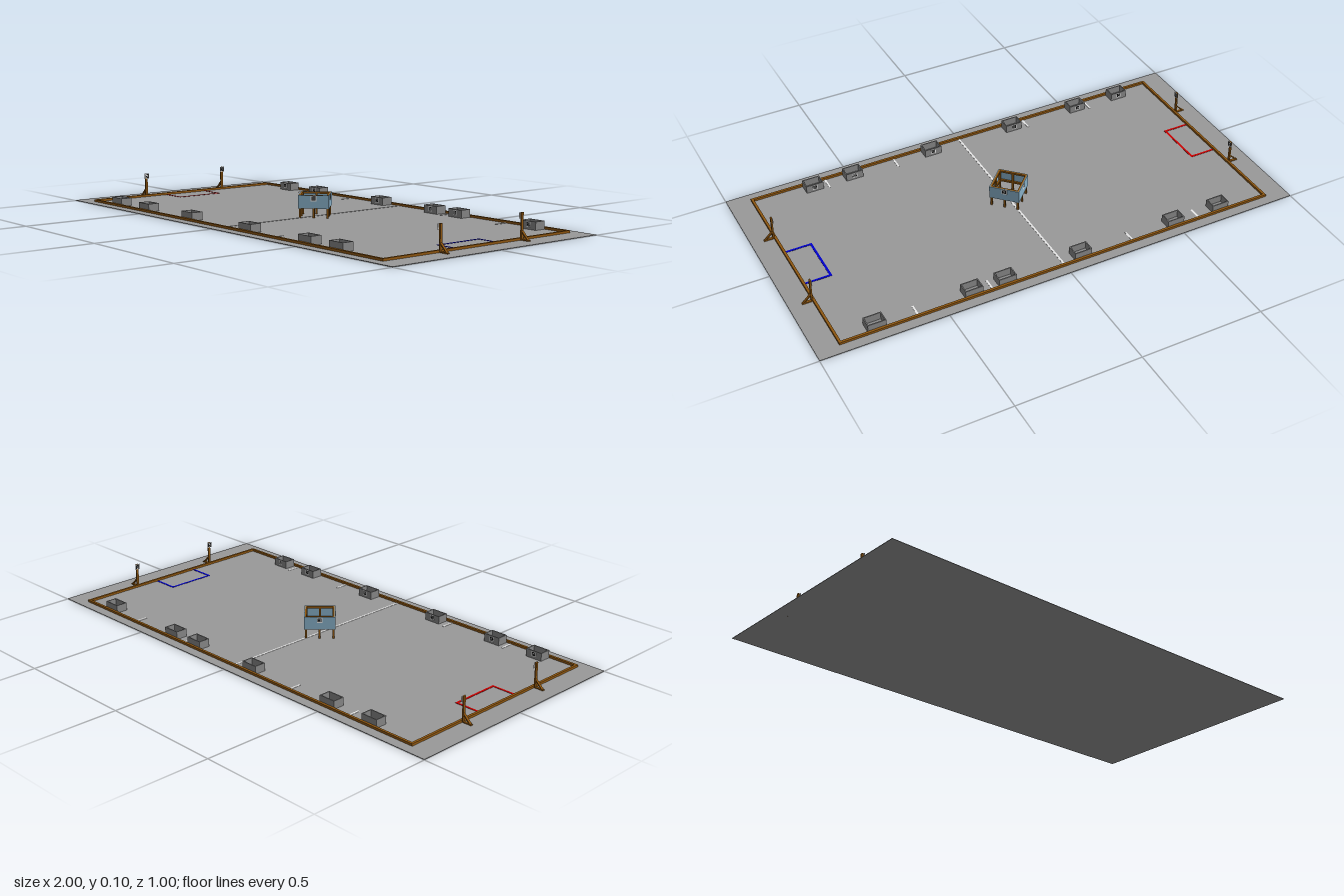
import * as THREE from 'three';

const mat = (name, color) => Object.assign(new THREE.MeshStandardMaterial({ color }), { name });
const M = {
  floor: mat('floor grey', 0x999999),
  wood: mat('wood brown', 0x8f5710),
  crate: mat('crate grey', 0x868686),
  panel: mat('panel blue', 0x87afc7),
  white: mat('white', 0xf0f0f0),
  black: mat('black', 0x151515),
  red: mat('red tape', 0xcc0000),
  blue: mat('blue tape', 0x0000cc),
};

function box(parent, name, m, w, h, d, x, y, z) {
  const mesh = new THREE.Mesh(new THREE.BoxGeometry(w, h, d), m);
  mesh.name = name;
  mesh.position.set(x, y, z);
  parent.add(mesh);
  return mesh;
}

function group(parent, name) {
  const g = new THREE.Group();
  g.name = name;
  parent.add(g);
  return g;
}

// Square marker plate facing +z
function marker(parent, s, x, y, z) {
  const g = group(parent, 'markerPlate');
  g.position.set(x, y, z);
  box(g, 'plate', M.white, s, s, 0.001, 0, 0, 0);
  box(g, 'darkSquare', M.black, s * 0.72, s * 0.72, 0.0006, 0, 0, 0.0006);
  for (const [u, v] of [[-0.12, 0.12], [0.12, 0.12], [0.12, -0.12], [-0.12, -0.2]])
    box(g, 'cell', M.white, s * 0.16, s * 0.13, 0.0005, u * s, v * s, 0.0009);
  return g;
}

// Open crate with its marker on the +z side
function crate(parent, x, z, turn) {
  const g = group(parent, 'crate');
  g.position.set(x, 0.002, z);
  g.rotation.y = turn;
  const w = 0.072, d = 0.048, h = 0.032, t = 0.004;
  box(g, 'crateBottom', M.crate, w, 0.002, d, 0, 0.001, 0);
  for (const s of [-1, 1]) {
    box(g, 'crateLongSide', M.crate, w, h, t, 0, h / 2, s * (d - t) / 2);
    box(g, 'crateShortSide', M.crate, t, h, d - 2 * t, s * (w - t) / 2, h / 2, 0);
  }
  marker(g, 0.02, 0, 0.019, d / 2 + 0.0005);
}

// Tape rectangle open towards the end wall
function zone(parent, name, m, s) {
  const g = group(parent, name);
  box(g, 'tapeAcross', m, 0.009, 0.001, 0.21, s * 0.797, 0.0025, 0);
  for (const k of [-1, 1])
    box(g, 'tapeAlong', m, 0.104, 0.001, 0.009, s * 0.849, 0.0025, k * 0.1005);
}

// Braced post outside the end wall, local +z towards the field centre
function post(parent, x, z) {
  const g = group(parent, 'markerPost');
  g.position.set(x, 0, z);
  g.rotation.y = x > 0 ? -Math.PI / 2 : Math.PI / 2;
  box(g, 'upright', M.wood, 0.01, 0.1, 0.006, 0, 0.052, 0);
  box(g, 'foot', M.wood, 0.01, 0.004, 0.038, 0, 0.004, -0.019);
  const brace = box(g, 'brace', M.wood, 0.01, 0.004, 0.05, 0, 0.019, -0.018);
  brace.rotation.x = -Math.PI / 4;
  marker(g, 0.022, 0, 0.091, 0.004);
}

// Diamond tower on legs, in the middle of the field
function tower(parent) {
  const g = group(parent, 'centreTower');
  g.rotation.y = Math.PI / 4;
  const L = 0.122, top = 0.092, low = 0.04;
  for (let i = 0; i < 4; i++) {
    const side = group(g, 'towerSide');
    side.rotation.y = i * Math.PI / 2;
    box(side, 'panel', M.panel, L, top - low, 0.003, 0, (top + low) / 2, L / 2 - 0.0015);
    box(side, 'topRail', M.wood, L - 0.006, 0.008, 0.007, 0, top - 0.004, L / 2 - 0.0065);
    box(side, 'lowRail', M.wood, L - 0.006, 0.008, 0.007, 0, low + 0.004, L / 2 - 0.0065);
    box(side, 'cornerLeg', M.wood, 0.008, top - 0.002, 0.008, L / 2 - 0.007, top / 2, L / 2 - 0.007);
    box(side, 'middleLeg', M.wood, 0.008, top - 0.002, 0.007, 0, top / 2, L / 2 - 0.0066);
    marker(side, 0.022, 0, 0.08, L / 2 + 0.0005);
  }
}

export function createModel() {
  const root = new THREE.Group();
  root.name = 'gameField';
  box(root, 'floor', M.floor, 2, 0.002, 1, 0, 0.001, 0);

  // Wooden border
  const border = group(root, 'border');
  for (const s of [-1, 1]) {
    box(border, 'longWall', M.wood, 1.82, 0.01, 0.01, 0, 0.006, s * 0.455);
    box(border, 'endWall', M.wood, 0.01, 0.01, 0.9, s * 0.905, 0.006, 0);
    for (const z of [-0.2, 0.2]) post(root, s * 0.911, z);
  }

  // Floor tape
  box(root, 'centreLine', M.white, 0.008, 0.001, 0.9, 0, 0.0025, 0);
  for (const x of [-0.6, -0.3, 0.3, 0.6])
    for (const s of [-1, 1]) box(root, 'tickLine', M.white, 0.008, 0.001, 0.055, x, 0.0025, s * 0.4225);
  zone(root, 'redZone', M.red, -1);
  zone(root, 'blueZone', M.blue, 1);

  // Crates along both long walls, markers facing inwards
  for (const x of [-0.7, -0.495, -0.083, 0.237, 0.375, 0.76]) crate(root, x, -0.425, 0);
  for (const x of [-0.747, -0.542, -0.235, 0.14, 0.489, 0.66]) crate(root, x, 0.425, Math.PI);

  tower(root);
  return root;
}
